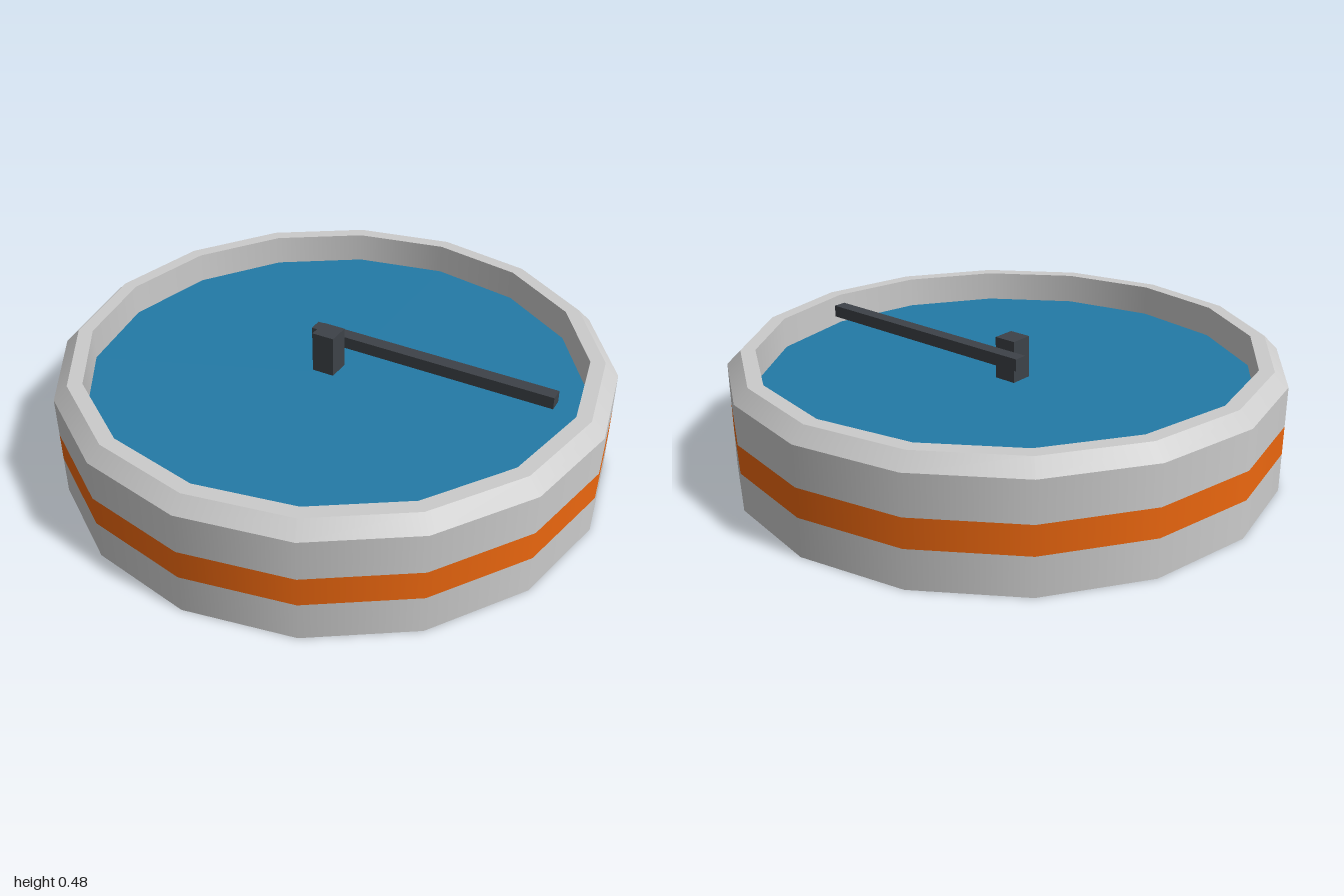
import * as THREE from 'three';

const SIDES = 16;
const START = THREE.MathUtils.degToRad(5);
const ARM_YAW = THREE.MathUtils.degToRad(-40);

export function createModel() {
  const model = new THREE.Group();
  const material = (color) => new THREE.MeshStandardMaterial({ color, side: THREE.DoubleSide });
  const grey = material(0xcccccc);
  const orange = material(0xec670f);
  const blue = material(0x237aa6);
  const dark = material(0x3d4248);

  const add = (name, geometry, mat, x = 0, y = 0, z = 0) => {
    const mesh = new THREE.Mesh(geometry, mat);
    mesh.name = name;
    mesh.position.set(x, y, z);
    model.add(mesh);
    return mesh;
  };

  // Open sixteen-sided ring between two heights
  const ring = (name, rBottom, rTop, y0, y1, mat) => add(
    name,
    new THREE.CylinderGeometry(rTop, rBottom, y1 - y0, SIDES, 1, true, START),
    mat, 0, (y0 + y1) / 2, 0
  );

  // Outer wall with its coloured stripe, bevel and inner wall
  ring('lowerWall', 1.003, 1.003, 0, 0.14, grey);
  ring('stripe', 1.003, 1.003, 0.14, 0.245, orange);
  ring('upperWall', 1.003, 1.003, 0.245, 0.39, grey);
  ring('bevel', 1.003, 0.953, 0.39, 0.44, grey);
  const inner = ring('innerWall', 0.9, 0.9, 0.18, 0.44, grey);
  // Turn the inner wall's faces towards the middle
  inner.geometry.scale(-1, 1, 1).rotateY(2 * START);

  // Flat top of the rim
  const rim = new THREE.RingGeometry(0.9, 0.953, SIDES, 1, START - Math.PI / 2);
  add('rimTop', rim.rotateX(-Math.PI / 2), grey, 0, 0.44, 0);

  // Water surface
  const water = new THREE.CircleGeometry(0.94, SIDES, START - Math.PI / 2);
  add('waterSurface', water.rotateX(-Math.PI / 2), blue, 0, 0.325, 0);

  // Central post and the arm beside it
  add('post', new THREE.BoxGeometry(0.085, 0.23, 0.085), dark, -0.02, 0.365, -0.043).rotation.y = ARM_YAW;
  add('arm', new THREE.BoxGeometry(0.94, 0.045, 0.05), dark, 0.311, 0.42, 0.144).rotation.y = ARM_YAW;

  return model;
}
